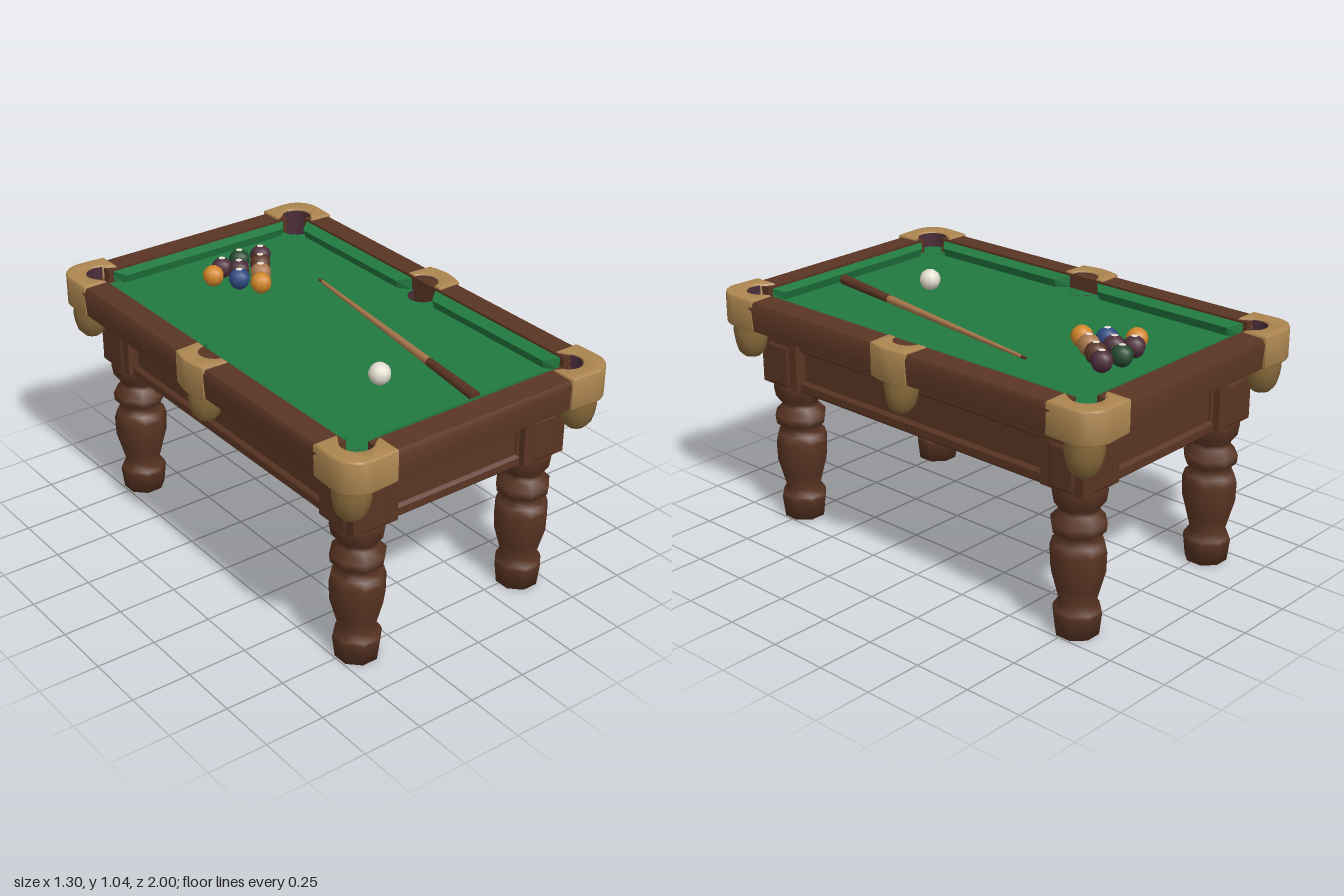
import * as THREE from 'three';
import { toCreasedNormals } from 'three/addons/utils/BufferGeometryUtils.js';

const V2 = (x, y) => new THREE.Vector2(x, y);

export function createModel() {
  const root = new THREE.Group();
  root.name = 'poolTable';
  const mat = (name, color, side = THREE.FrontSide) => {
    const m = new THREE.MeshStandardMaterial({ color, side });
    m.name = name;
    return m;
  };
  const wood = mat('wood', 0x5a3523);
  const felt = mat('greenFelt', 0x227a40);
  const brass = mat('tanLeather', 0xad8650);
  const net = mat('pocketNet', 0x86683a);
  const plum = mat('plum', 0x4c2d3a, THREE.DoubleSide);
  const orange = mat('orange', 0xd0862a);
  const blue = mat('blue', 0x2f4a82);
  const darkGreen = mat('darkGreen', 0x25492f);
  const white = mat('ivory', 0xe4dfd0);
  const maple = mat('cueShaft', 0xa8774c);

  const add = (name, geo, m, x = 0, y = 0, z = 0, parent = root) => {
    const mesh = new THREE.Mesh(geo, m);
    mesh.name = name;
    mesh.position.set(x, y, z);
    parent.add(mesh);
    return mesh;
  };
  const box = (name, w, h, d, m, x, y, z) => add(name, new THREE.BoxGeometry(w, h, d), m, x, y, z);

  // Extrudes a plan outline (x, z) downwards from yTop
  const slab = (shape, depth, bevel = 0) => {
    const g = new THREE.ExtrudeGeometry(shape, {
      depth: depth - 2 * bevel, bevelEnabled: bevel > 0, bevelSize: bevel, bevelOffset: -bevel,
      bevelThickness: bevel, bevelSegments: 2, curveSegments: 8,
    });
    g.translate(0, 0, bevel);
    g.rotateX(Math.PI / 2);
    return g;
  };
  // Points on an arc in plan, from angle a to b
  const arc = (cx, cz, r, a, b, n) => Array.from({ length: n + 1 }, (_, i) => {
    const t = a + (b - a) * i / n;
    return V2(cx + r * Math.cos(t), cz + r * Math.sin(t));
  });

  const PI = Math.PI, HOLE = 0.064;
  const corners = [[1, 1], [1, -1], [-1, 1], [-1, -1]];
  const pockets = [...corners.map(([sx, sz]) => [0.5 * sx, 0.865 * sz]), [0.515, 0], [-0.515, 0]];

  // Playing bed with six pocket holes, and the closed underside below it
  const bed = new THREE.Shape([V2(-0.56, -0.93), V2(0.56, -0.93), V2(0.56, 0.93), V2(-0.56, 0.93)]);
  for (const [x, z] of pockets) bed.holes.push(new THREE.Path(arc(x, z, HOLE, 0, 2 * PI, 12).slice(0, 12)));
  add('playingSurface', slab(bed, 0.015), felt, 0, 0.945, 0);
  box('tableUnderside', 1.2, 0.012, 1.92, wood, 0, 0.886, 0);

  // Wooden rails: cross-section swept along the length, outer face leaning out
  const railGeo = (length) => {
    const s = new THREE.Shape([V2(-0.055, 0), V2(0.048, 0), V2(0.056, 0.1), V2(0.044, 0.122), V2(-0.055, 0.125)]);
    const g = new THREE.ExtrudeGeometry(s, { depth: length, bevelEnabled: false });
    g.translate(0, 0, -length / 2);
    return toCreasedNormals(g, 0.9);
  };
  for (const s of [1, -1]) {
    const side = add('sideRail', railGeo(1.66), wood, s * 0.575, 0.88, 0);
    side.rotation.y = s > 0 ? 0 : PI;
    const end = add('endRail', railGeo(0.92), wood, 0, 0.88, s * 0.932);
    end.rotation.y = -s * PI / 2;
  }

  // Felt cushions: mitred prisms whose nose sits lower than the back
  const cushion = (half, back, nose) => {
    const d = back - nose;
    const g = slab(new THREE.Shape([V2(-half, d), V2(half, d), V2(half - 0.05, 0), V2(-half + 0.05, 0)]), 0.06);
    const p = g.attributes.position;
    for (let i = 0; i < p.count; i++) {
      if (p.getZ(i) < 0.01 && p.getY(i) > -0.01) p.setY(i, -0.016);
      if (p.getZ(i) < 0.01 && p.getY(i) < -0.05) p.setZ(i, 0.015);
    }
    g.computeVertexNormals();
    return g;
  };
  for (const s of [1, -1]) {
    const e = add('endCushion', cushion(0.45, 0.89, 0.832), felt, 0, 0.998, s * 0.832);
    e.rotation.y = s > 0 ? 0 : PI;
    for (const t of [1, -1]) {
      const c = add('sideCushion', cushion(0.375, 0.528, 0.468), felt, s * 0.468, 0.998, t * 0.443);
      c.rotation.y = s * PI / 2;
    }
  }

  // Rounded corner caps wrapped around the corner pockets
  for (const [sx, sz] of corners) {
    const pts = [V2(0.415, 0.885), V2(0.415, 0.993), V2(0.53, 1.0), ...arc(0.535, 0.9, 0.1, PI / 2, 0, 5),
      V2(0.63, 0.785), V2(0.525, 0.785), ...arc(0.5, 0.865, HOLE, -0.5, PI - 0.6, 9)];
    const shape = new THREE.Shape(pts.map((p) => V2(p.x * sx, p.y * sz)));
    add('cornerCap', toCreasedNormals(slab(shape, 0.135, 0.008), 0.8), brass, 0, 1.013, 0);
  }

  // Middle pocket caps
  for (const s of [1, -1]) {
    const pts = [V2(0.525, 0.1), V2(0.632, 0.092), V2(0.643, 0.05), V2(0.65, 0), V2(0.643, -0.05),
      V2(0.632, -0.092), V2(0.525, -0.1), ...arc(0.515, 0, HOLE, -1.4, 1.4, 8)];
    const shape = new THREE.Shape(pts.map((p) => V2(p.x * s, p.y)));
    add('middleCap', toCreasedNormals(slab(shape, 0.14, 0.006), 0.8), brass, 0, 1.013, 0);
  }

  // Pocket linings (taller on the outer side) and hanging nets
  const netProfile = [[0, 0], [0.035, 0.006], [0.058, 0.03], [0.07, 0.07], [0.076, 0.11], [0.07, 0.155]]
    .map(([r, y]) => V2(r, y));
  for (const [x, z] of pockets) {
    const r = HOLE - 0.001;
    add('pocketLining', new THREE.CylinderGeometry(r, r, 0.055, 12, 1, true), plum, x, 0.9185, z);
    const facing = Math.atan2(Math.sign(x), Math.sign(z));
    const lip = new THREE.CylinderGeometry(r, r, 0.065, 10, 1, true, facing - 1.35, 2.7);
    add('pocketLip', lip, plum, x, 0.975, z);
    const bag = add('pocketNet', new THREE.LatheGeometry(netProfile, 10), net,
      Math.sign(x) * (z ? 0.545 : 0.56), 0.727, Math.sign(z) * 0.895);
    if (!z) bag.scale.z = 0.85;
  }

  // Cabinet with framed apron panels
  box('cabinet', 0.94, 0.29, 1.64, wood, 0, 0.74, 0);
  const frame = (w) => {
    const h = w / 2, i = h - 0.03;
    const s = new THREE.Shape([V2(-h, 0.6), V2(h, 0.6), V2(h, 0.88), V2(-h, 0.88)]);
    s.holes.push(new THREE.Path([V2(-i, 0.655), V2(-i, 0.78), V2(i, 0.78), V2(i, 0.655)]));
    return new THREE.ExtrudeGeometry(s, {
      depth: 0.005, bevelThickness: 0.012, bevelSize: 0.012, bevelOffset: -0.012, bevelSegments: 1,
    });
  };
  for (const s of [1, -1]) {
    const e = add('endApron', frame(0.66), wood, 0, 0, s * 0.825);
    e.rotation.y = s > 0 ? 0 : PI;
    const f = add('sideApron', frame(1.36), wood, s * 0.475, 0, 0);
    f.rotation.y = s * PI / 2;
  }

  // Turned legs under square blocks with raised panels
  const legProfile = [[0, 0], [0.082, 0], [0.092, 0.09], [0.088, 0.105], [0.069, 0.135], [0.085, 0.2], [0.103, 0.27],
    [0.105, 0.35], [0.095, 0.385], [0.07, 0.405], [0.1, 0.435], [0.104, 0.47], [0.074, 0.505], [0.074, 0.525],
    [0.098, 0.56], [0.105, 0.605], [0.1, 0.64]].map(([r, y]) => V2(r * 1.07, y));
  const panel = new THREE.ExtrudeGeometry(
    new THREE.Shape([V2(-0.06, -0.09), V2(0.06, -0.09), V2(0.06, 0.09), V2(-0.06, 0.09)]),
    { depth: 0.001, bevelThickness: 0.006, bevelSize: 0.01, bevelOffset: -0.01, bevelSegments: 1 });
  for (const [sx, sz] of corners) {
    const x = sx * 0.411, z = sz * 0.765;
    const leg = add('turnedLeg', new THREE.LatheGeometry(legProfile, 8), wood, x, 0, z);
    leg.rotation.y = PI / 8;
    box('legBlock', 0.205, 0.265, 0.205, wood, x, 0.748, z);
    add('legPanel', panel, wood, x, 0.71, z + sz * 0.1025).rotation.y = sz > 0 ? 0 : PI;
    add('legPanel', panel, wood, x + sx * 0.1025, 0.71, z).rotation.y = sx * PI / 2;
  }

  // Balls, each with a pale spot on top
  const R = 0.045;
  const ballGeo = new THREE.SphereGeometry(R, 9, 7);
  const spotGeo = new THREE.SphereGeometry(R + 0.001, 8, 1, 0, 2 * PI, 0, 0.32);
  const balls = [[-0.12, -0.6, orange], [-0.045, -0.645, plum], [0.06, -0.67, darkGreen], [0.155, -0.65, plum],
    [0, -0.585, plum], [0.105, -0.58, wood], [-0.05, -0.51, blue], [0.055, -0.505, maple], [0, -0.425, orange]];
  for (const [x, z, m] of balls) {
    add('ball', ballGeo, m, x, 0.945 + R, z);
    if (m !== orange) add('ballSpot', spotGeo, white, x, 0.945 + R, z);
  }
  add('cueBall', ballGeo, white, -0.1, 0.945 + R, 0.49);

  // Cue lying on the felt: tapered shaft and darker butt
  const stick = (name, a, b, ra, rb, m) => {
    const dir = b.clone().sub(a);
    const mesh = add(name, new THREE.CylinderGeometry(rb, ra, dir.length(), 8), m);
    mesh.position.copy(a).addScaledVector(dir, 0.5);
    mesh.quaternion.setFromUnitVectors(new THREE.Vector3(0, 1, 0), dir.normalize());
  };
  const butt = new THREE.Vector3(0.097, 0.968, 0.81), joint = new THREE.Vector3(0.14, 0.964, 0.49);
  const tip = new THREE.Vector3(0.253, 0.955, -0.34), end = new THREE.Vector3(0.256, 0.955, -0.365);
  stick('cueButt', butt, joint, 0.022, 0.017, wood);
  stick('cueShaft', joint, tip, 0.017, 0.007, maple);
  stick('cueTip', tip, end, 0.007, 0.005, wood);

  return root;
}
